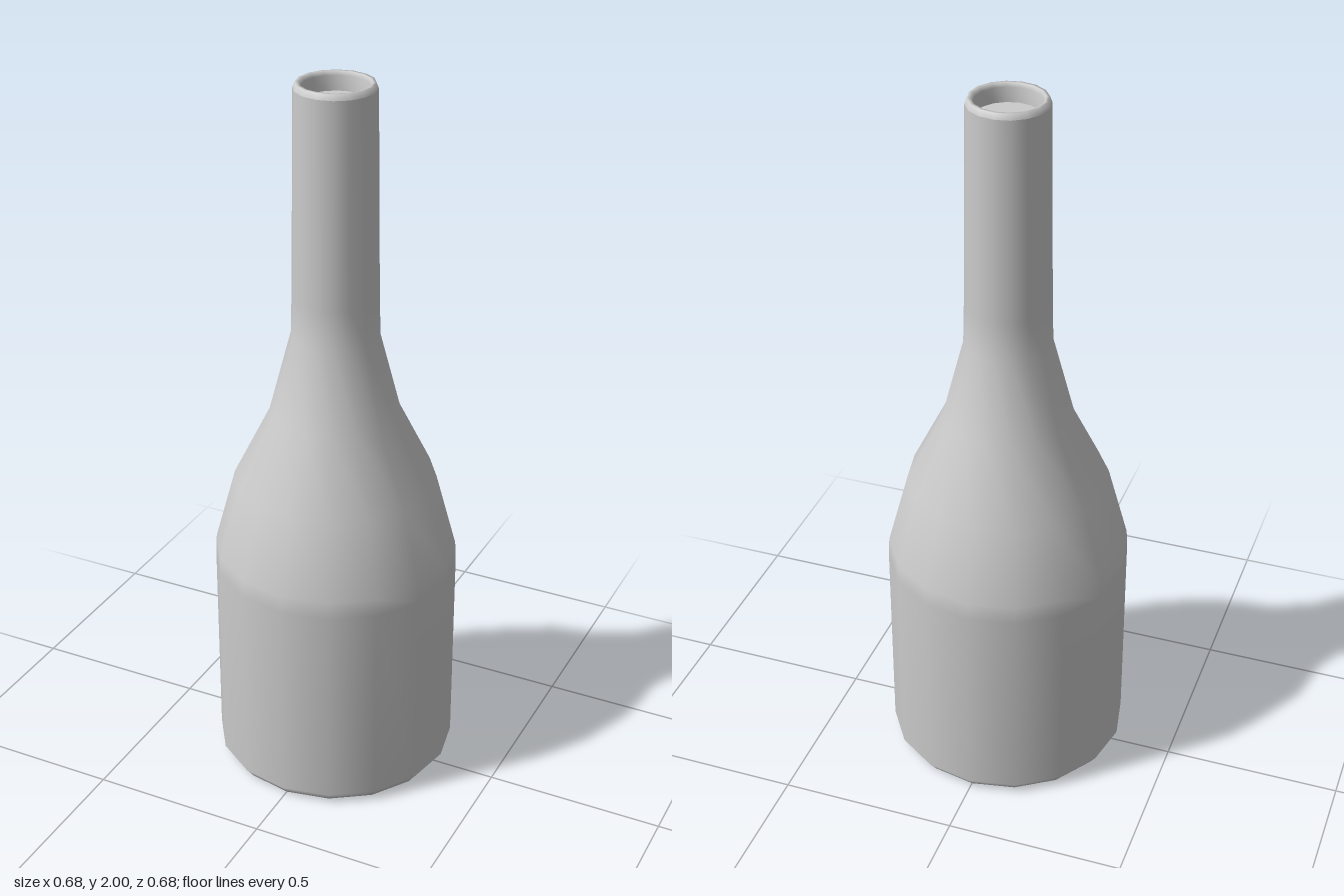
import * as THREE from 'three';

const SIDES = 16;

export function createModel() {
  const bottle = new THREE.Group();
  bottle.name = 'bottle';
  const material = new THREE.MeshStandardMaterial({ color: 0xcccccc });

  // Turns a list of [radius, height] pairs into a smooth revolved part
  const addLathe = (name, profile) => {
    const points = profile.map(([r, y]) => new THREE.Vector2(r, y));
    const mesh = new THREE.Mesh(new THREE.LatheGeometry(points, SIDES), material);
    mesh.name = name;
    bottle.add(mesh);
  };

  // Hollow underside, from its centre out to the foot rim
  addLathe('punt', [[0, 0.14], [0.09, 0.13], [0.2, 0.08], [0.27, 0.02], [0.29, 0]]);

  // Foot, straight body, shoulder and neck
  addLathe('body', [
    [0.29, 0], [0.317, 0], [0.34, 0.03], [0.34, 0.62], [0.337, 0.67],
    [0.28, 0.88], [0.18, 1.08], [0.12, 1.31], [0.117, 1.42], [0.109, 1.985],
  ]);

  // Rounded lip and the wall inside the mouth
  addLathe('lip', [[0.109, 1.985], [0.103, 2], [0.094, 2], [0.088, 1.99], [0.086, 1.95]]);

  // Floor of the mouth recess
  addLathe('mouthFloor', [[0.086, 1.95], [0, 1.95]]);

  return bottle;
}
